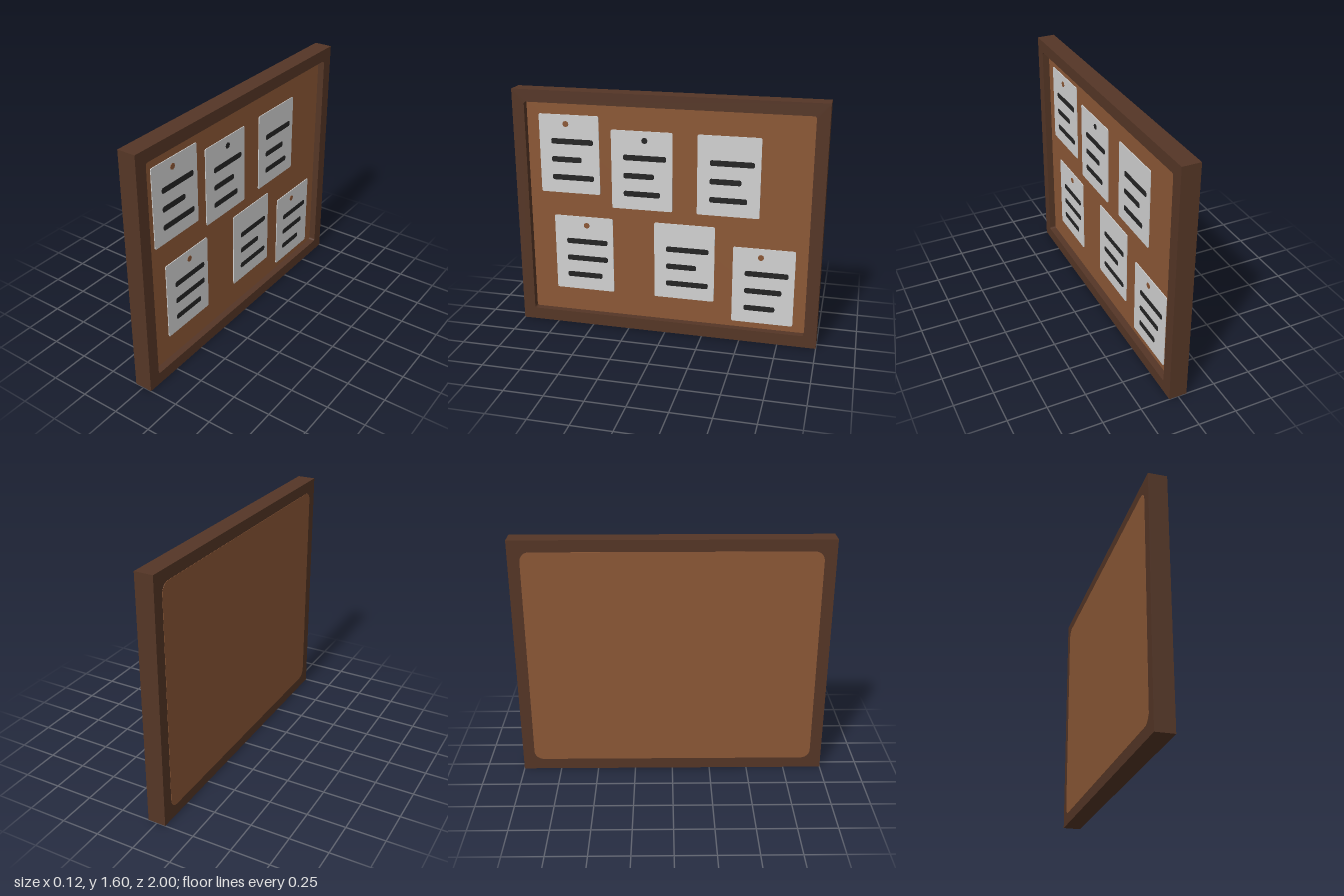
import * as THREE from 'three';

const mat = (name, color, extra = {}) => {
  const m = new THREE.MeshStandardMaterial({ color, ...extra });
  m.name = name;
  return m;
};

// Rounded rectangle outline from its lower left corner
function roundedRect(Type, x, y, w, h, r) {
  const s = new Type();
  s.moveTo(x + r, y);
  s.lineTo(x + w - r, y);
  s.absarc(x + w - r, y + r, r, -Math.PI / 2, 0, false);
  s.lineTo(x + w, y + h - r);
  s.absarc(x + w - r, y + h - r, r, 0, Math.PI / 2, false);
  s.lineTo(x + r, y + h);
  s.absarc(x + r, y + h - r, r, Math.PI / 2, Math.PI, false);
  s.lineTo(x, y + r);
  s.absarc(x + r, y + r, r, Math.PI, Math.PI * 1.5, false);
  return s;
}

export function createModel() {
  const wood = mat('dark wood', 0x553626);
  const cork = mat('cork', 0x8c5836);
  const white = mat('paper', 0xd2d2d2);
  const ink = mat('ink', 0x242424);

  // Built facing +z, then turned so the notices face +x
  const board = new THREE.Group();
  board.name = 'noticeBoard';
  board.rotation.y = Math.PI / 2;

  const plate = (name, shape, z0, z1, material, parent = board) => {
    const g = new THREE.ExtrudeGeometry(shape, { depth: z1 - z0, bevelEnabled: false, curveSegments: 4 });
    g.translate(0, 0, z0);
    const m = new THREE.Mesh(g, material);
    m.name = name;
    parent.add(m);
    return m;
  };
  const rect = (x, y, w, h, r) => roundedRect(THREE.Shape, x, y, w, h, r);

  // Frame with its opening, closed behind by a thin backing
  const outer = new THREE.Shape([[-1, 0], [1, 0], [1, 1.6], [-1, 1.6]].map(([x, y]) => new THREE.Vector2(x, y)));
  const frame = outer.clone();
  frame.holes.push(roundedRect(THREE.Path, -0.92, 0.08, 1.84, 1.44, 0.015));
  plate('frame', frame, -0.05, 0.06, wood);
  plate('frameBacking', outer, -0.058, -0.05, wood);

  // Recessed cork sheet and the rounded panel on the back
  plate('corkSheet', rect(-0.925, 0.075, 1.85, 1.45, 0.015), -0.04, 0.015, cork);
  plate('backPanel', rect(-0.925, 0.075, 1.85, 1.45, 0.06), -0.06, -0.057, cork);

  // Notices: lower left corner, three line lengths, pin position and colour
  const notices = [
    { x: -0.84, y: 0.92, lines: [0.28, 0.2, 0.28], pin: [0.18, cork] },
    { x: -0.36, y: 0.84, lines: [0.28, 0.2, 0.24], pin: [0.22, ink] },
    { x: 0.2, y: 0.84, lines: [0.28, 0.2, 0.24] },
    { x: -0.76, y: 0.24, lines: [0.28, 0.28, 0.24], pin: [0.22, cork] },
    { x: -0.08, y: 0.24, lines: [0.28, 0.2, 0.28] },
    { x: 0.44, y: 0.12, lines: [0.28, 0.24, 0.2], pin: [0.18, cork] },
  ];
  for (const { x, y, lines, pin } of notices) {
    const notice = new THREE.Group();
    notice.name = 'notice';
    notice.position.set(x, y, 0);
    board.add(notice);
    plate('paper', rect(0, 0, 0.4, 0.52, 0.01), 0.015, 0.02, white, notice);
    lines.forEach((len, i) => {
      plate('writtenLine', rect(0.08, 0.327 - i * 0.12, len, 0.036, 0.012), 0.02, 0.023, ink, notice);
    });
    if (pin) {
      const disc = new THREE.Shape();
      disc.absarc(pin[0], 0.46, 0.02, 0, Math.PI * 2, false);
      plate('pin', disc, 0.02, 0.023, pin[1], notice);
    }
  }

  const model = new THREE.Group();
  model.name = 'model';
  model.add(board);
  return model;
}
